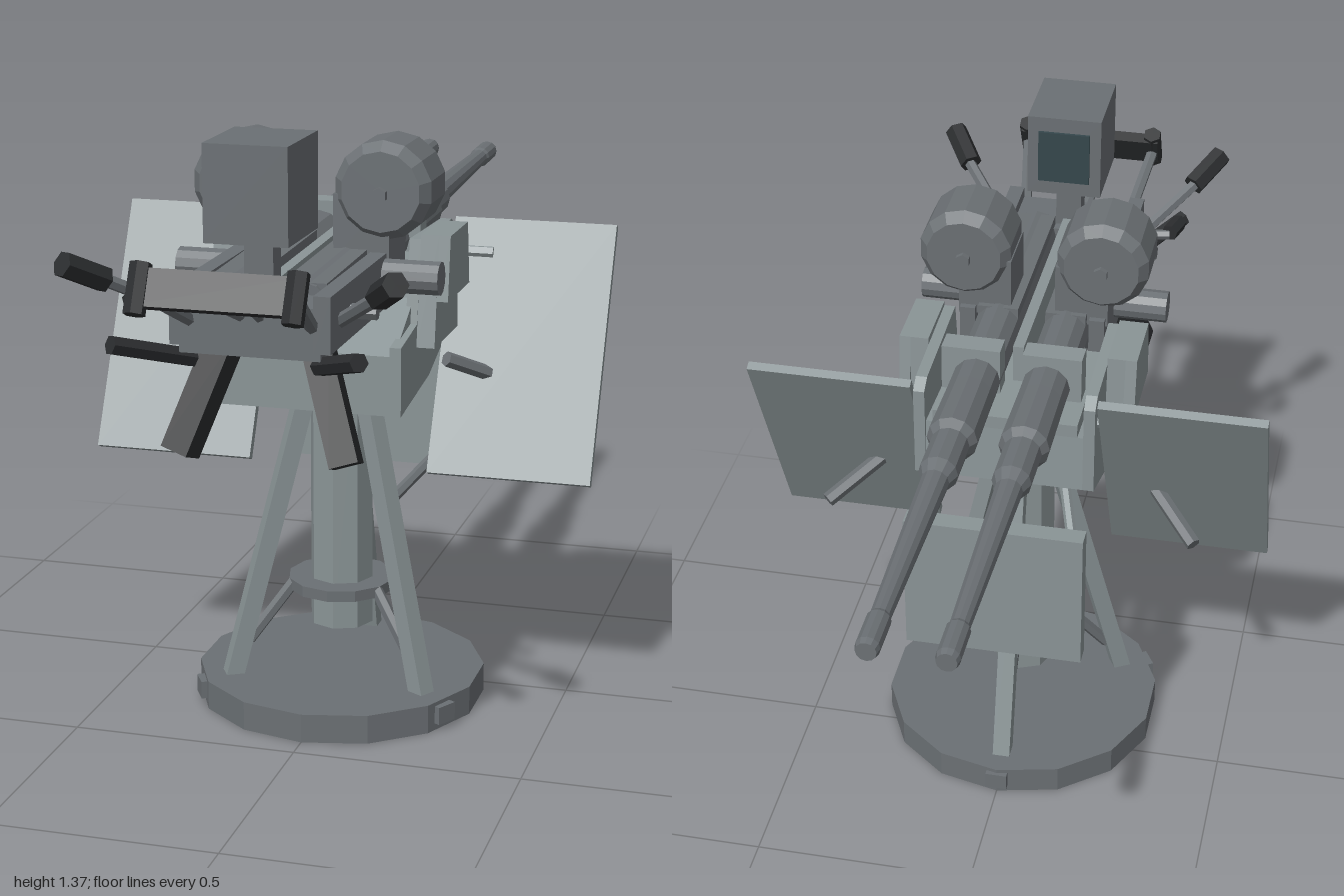
import * as THREE from 'three';

const mat = (color) => new THREE.MeshStandardMaterial({ color, flatShading: true, side: THREE.DoubleSide });
const V = (x, y, z) => new THREE.Vector3(x, y, z);

export function createModel() {
  const root = new THREE.Group();
  const steel = mat(0x6b7074), mount = mat(0x8a9496), black = mat(0x2b2d2f), glass = mat(0x35474c);

  const add = (name, geo, m, x = 0, y = 0, z = 0, parent = root) => {
    const mesh = new THREE.Mesh(geo, m);
    mesh.name = name;
    mesh.position.set(x, y, z);
    parent.add(mesh);
    return mesh;
  };
  // Box given by its min and max corners
  const box = (name, m, x0, x1, y0, y1, z0, z1, parent) =>
    add(name, new THREE.BoxGeometry(x1 - x0, y1 - y0, z1 - z0), m, (x0 + x1) / 2, (y0 + y1) / 2, (z0 + z1) / 2, parent);
  // Bar between two points: round with n sides, or a w x d slab when d is given
  const bar = (name, m, a, b, w, n = 6, d = 0) => {
    const len = a.distanceTo(b);
    const geo = d ? new THREE.BoxGeometry(w, len, d) : new THREE.CylinderGeometry(w, w, len, n);
    const mesh = add(name, geo, m);
    mesh.position.copy(a).add(b).multiplyScalar(0.5);
    mesh.quaternion.setFromUnitVectors(V(0, 1, 0), b.clone().sub(a).normalize());
    return mesh;
  };
  // Plate with a [z, y] outline, spanning x0..x1
  const sidePlate = (name, m, pts, x0, x1) => {
    const shape = new THREE.Shape(pts.map(([z, y]) => new THREE.Vector2(-z, y)));
    const geo = new THREE.ExtrudeGeometry(shape, { depth: x1 - x0, bevelEnabled: false });
    geo.rotateY(Math.PI / 2);
    return add(name, geo, m, x0, 0, 0);
  };

  // Base and pedestal
  const cz = 0.12;
  add('base', new THREE.CylinderGeometry(0.325, 0.325, 0.065, 14), steel, 0, 0.0325, cz);
  add('column', new THREE.CylinderGeometry(0.072, 0.072, 0.6, 8), mount, 0, 0.47, cz);
  add('columnRing', new THREE.CylinderGeometry(0.122, 0.122, 0.025, 12), steel, 0, 0.265, cz);
  add('columnHead', new THREE.CylinderGeometry(0.09, 0.09, 0.07, 10), mount, 0, 0.765, cz);

  // Three legs with struts and deck lugs
  for (const a of [Math.PI / 6, Math.PI * 5 / 6, -Math.PI / 2]) {
    const at = (r, y) => V(r * Math.cos(a), y, cz + r * Math.sin(a));
    bar('leg', mount, at(0.255, 0.055), at(0.075, 0.74), 0.04, 4, 0.04).rotateY(-a);
    bar('legStrut', steel, at(0.11, 0.27), at(0.215, 0.14), 0.014, 6);
    const lug = add('deckLug', new THREE.BoxGeometry(0.05, 0.04, 0.05), steel);
    lug.position.copy(at(0.308, 0.036));
    lug.rotation.y = -a;
  }

  // Cradle: solid floor section with taller cheeks and a forward plate
  sidePlate('cradleFloor', mount, [[0.365, 0.73], [0.365, 0.86], [0.2, 0.95], [-0.1, 0.97], [-0.11, 0.84], [0.12, 0.76]], -0.185, 0.185);
  box('cradleCrossPlate', mount, -0.16, 0.16, 0.9, 1.0, -0.1, 0.2);

  for (const s of [-1, 1]) {
    const span = (a, b) => (s > 0 ? [a, b] : [-b, -a]);
    sidePlate('cradleCheek', mount, [[0.365, 0.73], [0.365, 0.88], [0.23, 0.9], [0.2, 1.08], [-0.08, 1.07], [-0.11, 1.05], [-0.11, 0.84], [0.12, 0.76]], ...span(0.175, 0.2));
    sidePlate('cheekBracket', mount, [[0.2, 1.09], [0.235, 0.85], [0.02, 0.85], [0.04, 1.09]], ...span(0.2, 0.24));
    sidePlate('cheekBlock', mount, [[0.2, 1.09], [0.22, 0.95], [0.02, 0.95], [0.04, 1.09]], ...span(0.24, 0.265));
    box('sideRail', steel, ...span(0.13, 0.165), 0.965, 1.08, 0.2, 0.77);
    bar('trunnion', steel, V(s * 0.16, 1.035, 0.365), V(s * 0.285, 1.035, 0.365), 0.036, 12);

    // Sloping side shield and its stay
    const shield = add('sideShield', new THREE.BoxGeometry(0.365, 0.585, 0.02), mount, s * 0.3875, 0.805, 0.02);
    shield.rotation.x = -0.456;
    bar('shieldStay', steel, V(s * 0.24, 0.8, 0.125), V(s * 0.42, 0.69, -0.06), 0.017);
    bar('shieldHanger', mount, V(s * 0.19, 1.0, -0.07), V(s * 0.3, 1.0, -0.07), 0.015);

    // Lower shield stays
    bar('lowerShieldStay', steel, V(s * 0.07, 0.41, 0.04), V(s * 0.15, 0.49, -0.19), 0.013);
    bar('lowerShieldArm', mount, V(s * 0.13, 0.84, -0.08), V(s * 0.17, 0.77, -0.2), 0.012);

    // Upper handlebars with grips
    bar('handlebar', steel, V(s * 0.14, 1.0, 0.67), V(s * 0.29, 1.11, 0.84), 0.014);
    bar('handlebarGrip', black, V(s * 0.275, 1.1, 0.825), V(s * 0.33, 1.145, 0.905), 0.027);
    // Lower handles and downward grips
    bar('lowerHandle', black, V(s * 0.13, 0.93, 0.73), V(s * 0.25, 0.982, 0.87), 0.02);
    bar('shoulderPad', black, V(s * 0.095, 0.95, 0.625), V(s * 0.175, 0.72, 0.695), 0.068, 4, 0.06);
    // Back rest arms
    bar('backRestArm', steel, V(s * 0.12, 1.0, 0.73), V(s * 0.155, 1.11, 0.95), 0.014);
    bar('backRestInnerArm', steel, V(s * 0.015, 1.02, 0.74), V(s * 0.05, 1.11, 0.94), 0.012);
    bar('backRestEnd', black, V(s * 0.155, 1.075, 0.985), V(s * 0.155, 1.165, 0.94), 0.022);

    // Drum magazine with bevelled rims
    const drum = new THREE.LatheGeometry([[0, -0.085], [0.085, -0.085], [0.105, -0.06], [0.105, 0.06], [0.085, 0.085], [0, 0.085]]
      .map((p) => new THREE.Vector2(...p)), 14);
    drum.rotateX(Math.PI / 2);
    add('drumMagazine', drum, steel, s * 0.155, 1.21, 0.285);
    bar('drumHub', steel, V(s * 0.155, 1.205, 0.188), V(s * 0.155, 1.205, 0.385), 0.017);
    box('magazineFeed', steel, ...span(0.05, 0.17), 1.06, 1.2, 0.215, 0.355);
  }

  // Lower front shield
  box('lowerShield', mount, -0.2, 0.2, 0.455, 0.79, -0.235, -0.19);

  // Twin guns, slightly elevated
  const guns = new THREE.Group();
  guns.name = 'twinGuns';
  guns.position.set(0, 1.043, 0);
  guns.rotation.x = 0.0235;
  root.add(guns);
  const profile = [[0, -0.66], [0.053, -0.66], [0.053, 0.1], [0.055, 0.27], [0.042, 0.29], [0.042, 0.4], [0.03, 0.43],
    [0.021, 0.89], [0.025, 0.9], [0.025, 0.985], [0.021, 1], [0, 1]].map((p) => new THREE.Vector2(...p));
  for (const s of [-1, 1]) {
    const gun = new THREE.LatheGeometry(profile, 12);
    gun.rotateX(-Math.PI / 2);
    add('gun', gun, steel, s * 0.077, 0, 0, guns);
    box('barrelClamp', mount, s * 0.09 - 0.065, s * 0.09 + 0.065, -0.03, 0.075, -0.028, 0.026, guns);
    box('receiver', steel, s * 0.077 - 0.046, s * 0.077 + 0.046, -0.055, 0.05, 0.2, 0.65, guns);
  }
  box('centreRib', mount, -0.012, 0.012, -0.06, 0.045, 0.05, 0.65, guns);

  // Rear block, cross rod and cocking lever
  box('rearBlock', steel, -0.145, 0.145, 0.95, 1.055, 0.63, 0.77);
  bar('crossRod', steel, V(-0.22, 1.02, 0.625), V(0.22, 1.02, 0.625), 0.016);
  bar('cockingRod', steel, V(-0.15, 1.03, 0.68), V(-0.24, 1.035, 0.69), 0.012);
  bar('cockingKnob', black, V(-0.24, 1.04, 0.69), V(-0.255, 1.04, 0.745), 0.02);

  // Back rest
  const rest = add('backRest', new THREE.BoxGeometry(0.34, 0.075, 0.028), black, 0, 1.12, 0.955);
  rest.rotation.x = -0.45;

  // Sight on its post
  box('sightPost', steel, -0.03, 0.03, 1.04, 1.18, 0.655, 0.705);
  box('sightBox', steel, -0.086, 0.086, 1.175, 1.37, 0.585, 0.785);
  box('sightWindow', glass, -0.06, 0.06, 1.21, 1.335, 0.578, 0.59);

  return root;
}
